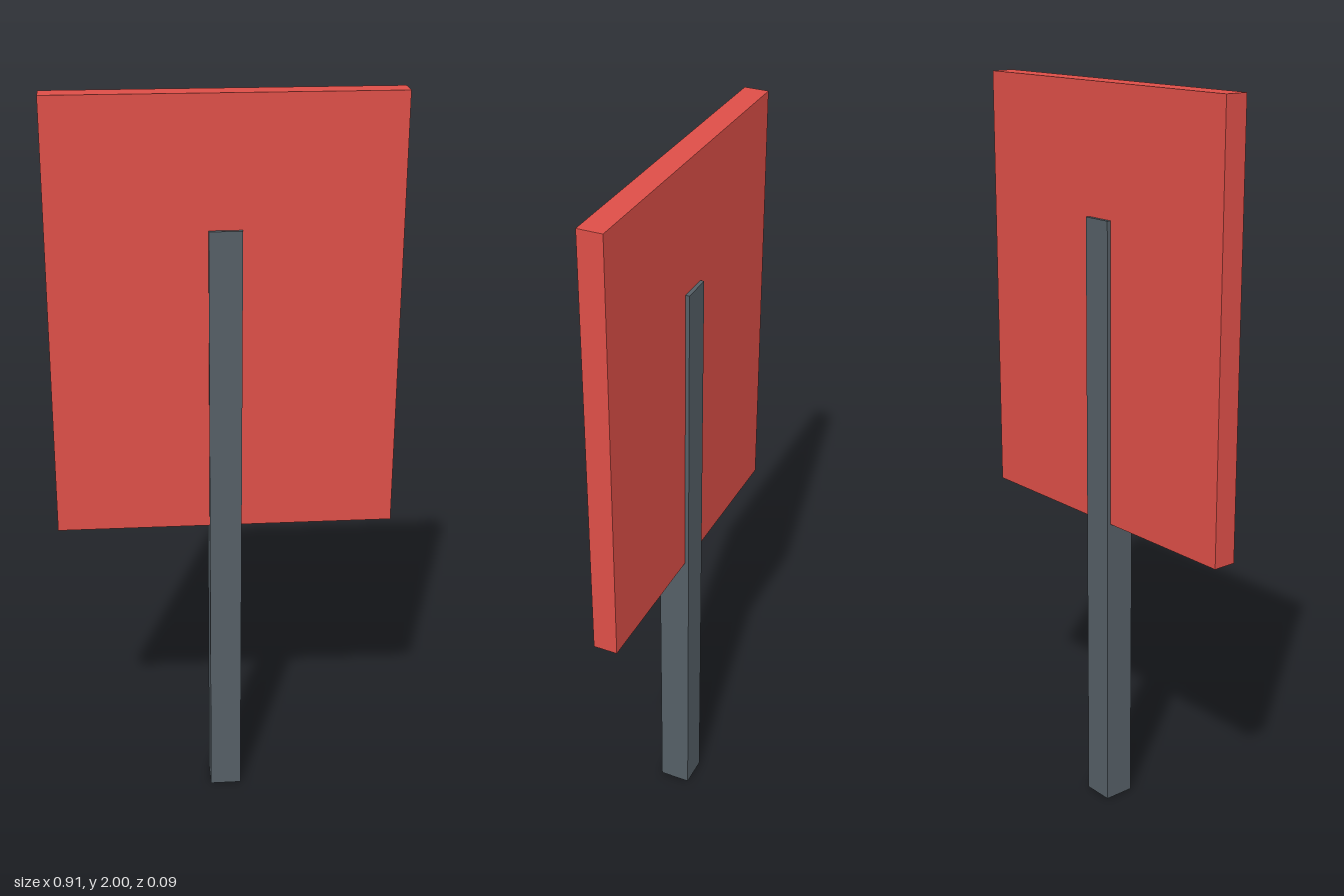
import * as THREE from 'three';

// Box placed by its size and the height of its underside
function block(name, width, height, depth, bottom, color) {
  const mesh = new THREE.Mesh(
    new THREE.BoxGeometry(width, height, depth),
    new THREE.MeshStandardMaterial({ color, flatShading: true })
  );
  mesh.name = name;
  mesh.position.y = bottom + height / 2;
  return mesh;
}

export function createModel() {
  const group = new THREE.Group();
  group.name = 'signPost';

  // Square post, running up through the panel and standing slightly proud of both faces
  group.add(block('post', 0.086, 1.66, 0.086, 0, 0x555f66));

  // Flat rectangular sign panel
  group.add(block('signPanel', 0.906, 1.16, 0.065, 0.84, 0xde4f48));

  return group;
}
